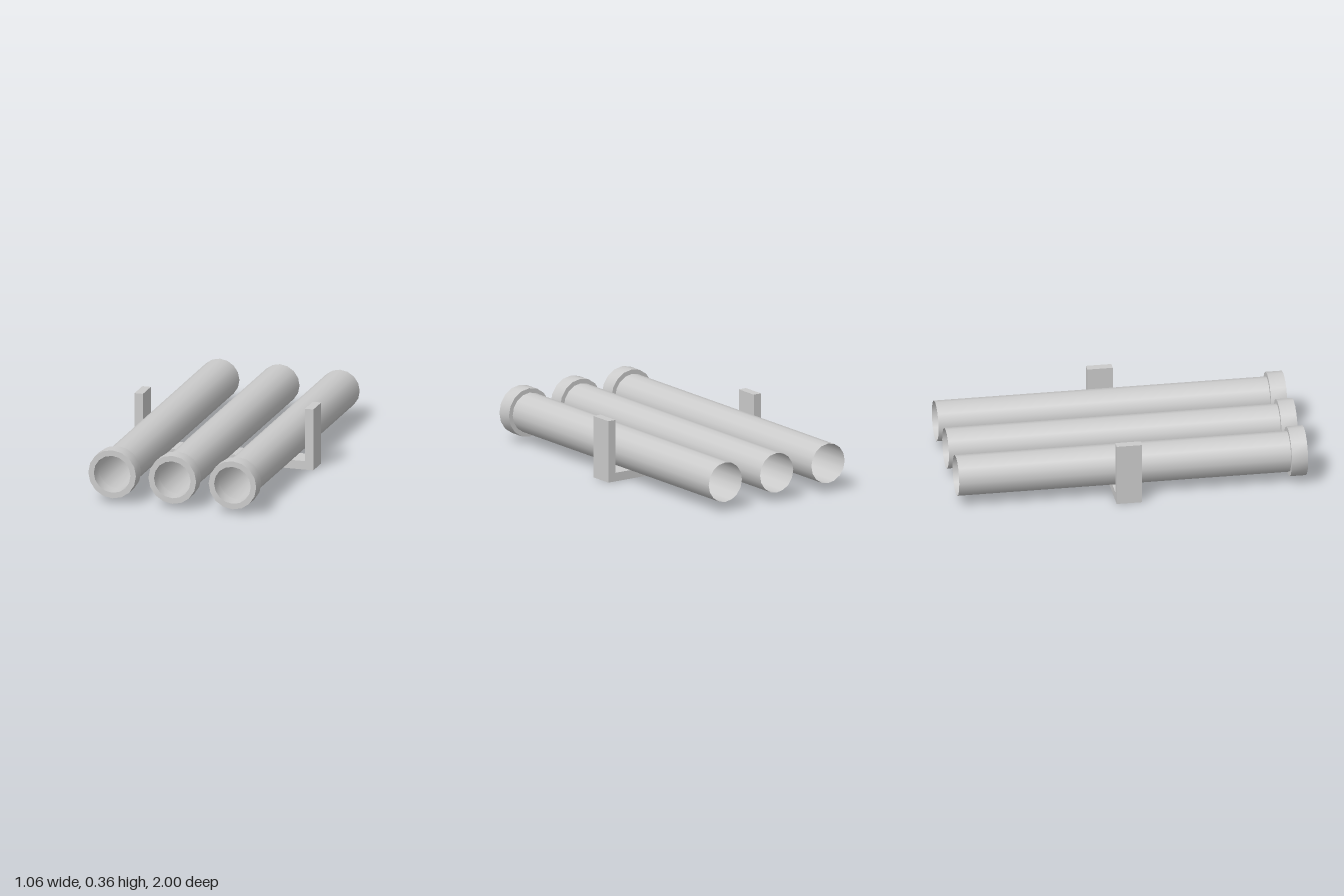
import * as THREE from 'three';
import { toCreasedNormals } from 'three/addons/utils/BufferGeometryUtils.js';

const SIDES = 16;
const AXIS_Y = 0.168;
const SPACING = 0.358;
const COLLAR_BACK = 0.907;

export function createModel() {
  const group = new THREE.Group();
  const grey = new THREE.MeshStandardMaterial({ color: 0xcccccc });
  const greyThin = new THREE.MeshStandardMaterial({ color: 0xcccccc, side: THREE.DoubleSide });

  const add = (name, geometry, material, parent = group) => {
    const mesh = new THREE.Mesh(geometry, material);
    mesh.name = name;
    parent.add(mesh);
    return mesh;
  };

  // Open thin-walled pipe running from the back to the collar
  const pipeLength = COLLAR_BACK + 1;
  const pipeGeometry = new THREE.CylinderGeometry(0.116, 0.116, pipeLength, SIDES, 1, true)
    .rotateX(Math.PI / 2)
    .translate(0, 0, COLLAR_BACK - pipeLength / 2);

  // Thick ring at the front end, a rectangular section turned around the axis
  const section = [[0.109, COLLAR_BACK], [0.142, COLLAR_BACK], [0.142, 1], [0.109, 1], [0.109, COLLAR_BACK]];
  const collarGeometry = toCreasedNormals(
    new THREE.LatheGeometry(section.map(([r, z]) => new THREE.Vector2(r, z)), SIDES).rotateX(Math.PI / 2),
    Math.PI / 4
  );

  for (const i of [-1, 0, 1]) {
    const tube = new THREE.Group();
    tube.name = 'tube';
    tube.position.set(i * SPACING, AXIS_Y, 0);
    add('pipe', pipeGeometry, greyThin, tube);
    add('collar', collarGeometry, grey, tube);
    group.add(tube);
  }

  // U-shaped bracket carrying the tubes
  const w = 0.532, h = 0.36, t = 0.05, depth = 0.146;
  const outline = [[-w, 0], [w, 0], [w, h], [w - t, h], [w - t, t], [-w + t, t], [-w + t, h], [-w, h]];
  const shape = new THREE.Shape(outline.map(([x, y]) => new THREE.Vector2(x, y)));
  const bracket = add('bracket', new THREE.ExtrudeGeometry(shape, { depth, bevelEnabled: false }), grey);
  bracket.position.z = -0.105;

  return group;
}
